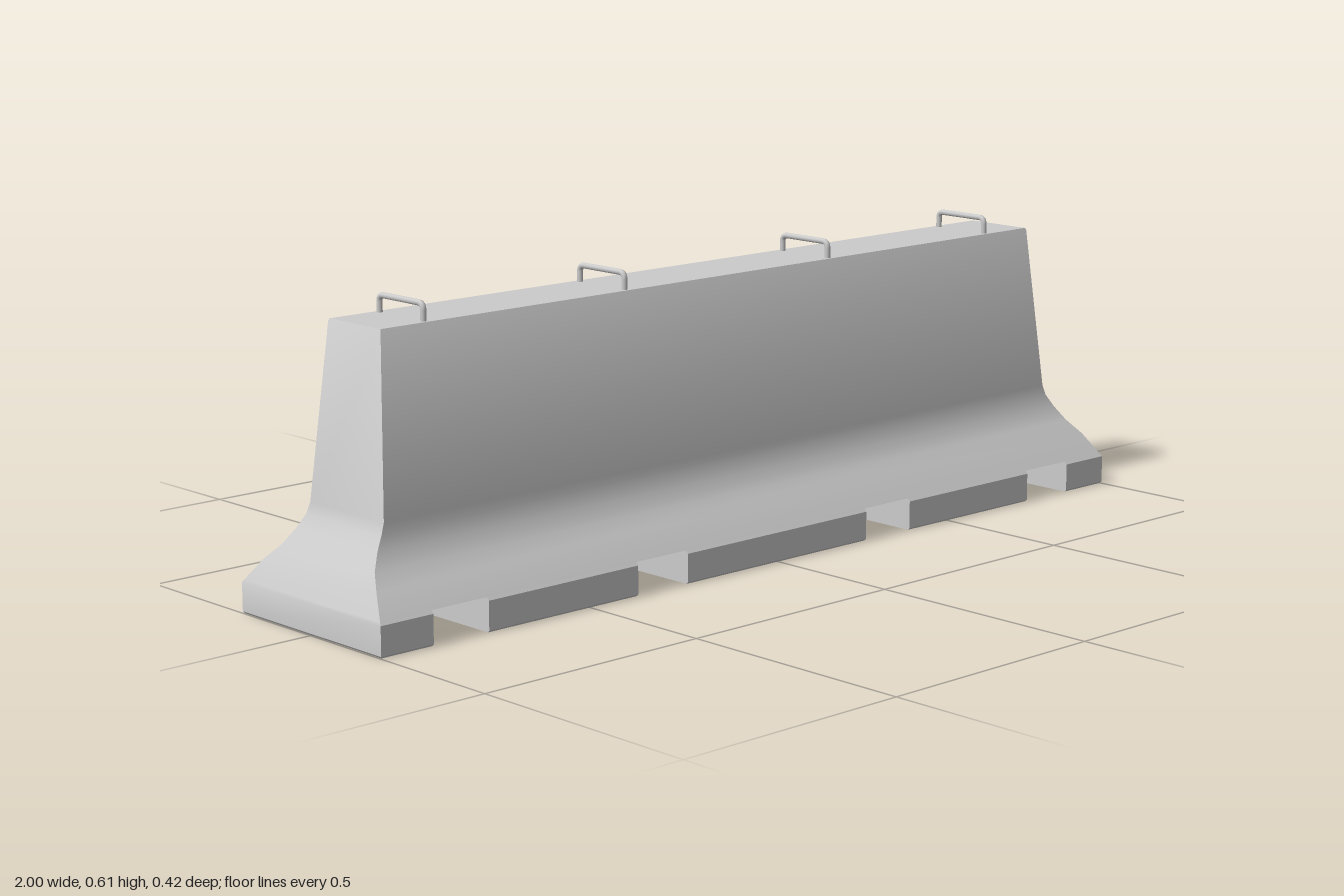
import * as THREE from 'three';
import { mergeGeometries, toCreasedNormals } from 'three/addons/utils/BufferGeometryUtils.js';

// Outline: [height, half length, half depth]
const FOOT = [[0, 0.997, 0.207], [0.004, 1, 0.211], [0.061, 1, 0.211], [0.067, 0.997, 0.206]];
const BODY = [
  [0.067, 0.997, 0.206], [0.11, 0.977, 0.171], [0.139, 0.957, 0.141], [0.17, 0.936, 0.123],
  [0.196, 0.919, 0.114], [0.218, 0.911, 0.111], [0.563, 0.884, 0.078], [0.566, 0.882, 0.076],
];
const NOTCHES = [[-0.88, -0.75], [-0.38, -0.25], [0.25, 0.38], [0.75, 0.88]];
const LOOPS = [-0.775, -0.28, 0.28, 0.76];

// Joins rectangular sections [y, x0, x1, halfDepth] from the bottom up
function loft(sections, capBottom, capTop) {
  const pos = [], index = [];
  for (const [y, x0, x1, z] of sections) pos.push(x1, y, z, x1, y, -z, x0, y, -z, x0, y, z);
  const quad = (a, b, c, d) => index.push(a, b, c, a, c, d);
  for (let s = 0; s < sections.length - 1; s++) {
    for (let i = 0; i < 4; i++) {
      const a = s * 4 + i, b = s * 4 + (i + 1) % 4;
      quad(a, b, b + 4, a + 4);
    }
  }
  const t = (sections.length - 1) * 4;
  if (capBottom) quad(3, 2, 1, 0);
  if (capTop) quad(t, t + 1, t + 2, t + 3);
  const g = new THREE.BufferGeometry();
  g.setAttribute('position', new THREE.Float32BufferAttribute(pos, 3));
  g.setIndex(index);
  return g.toNonIndexed();
}

function barrierGeometry() {
  const parts = [loft(BODY.map(([y, x, z]) => [y, -x, x, z]), false, true)];
  // Feet between the notches; the outer ends follow the outline
  for (let i = 0; i <= NOTCHES.length; i++) {
    parts.push(loft(FOOT.map(([y, x, z]) => [
      y,
      i === 0 ? -x : NOTCHES[i - 1][1],
      i === NOTCHES.length ? x : NOTCHES[i][0],
      z,
    ]), true, false));
  }
  // Notch ceilings
  const [y, , z] = BODY[0];
  for (const [x0, x1] of NOTCHES) {
    const g = new THREE.PlaneGeometry(x1 - x0, 2 * z).rotateX(Math.PI / 2).toNonIndexed();
    g.translate((x0 + x1) / 2, y, 0);
    g.deleteAttribute('uv');
    g.deleteAttribute('normal');
    parts.push(g);
  }
  return toCreasedNormals(mergeGeometries(parts), 0.55);
}

// Bent bar with rounded corners, spanning the depth
function loopGeometry() {
  const w = 0.065, top = 0.599, low = 0.555, r = 0.013;
  const p = (y, z) => new THREE.Vector3(0, y, z);
  const path = new THREE.CurvePath();
  path.add(new THREE.LineCurve3(p(low, w), p(top - r, w)));
  path.add(new THREE.QuadraticBezierCurve3(p(top - r, w), p(top, w), p(top, w - r)));
  path.add(new THREE.LineCurve3(p(top, w - r), p(top, r - w)));
  path.add(new THREE.QuadraticBezierCurve3(p(top, r - w), p(top, -w), p(top - r, -w)));
  path.add(new THREE.LineCurve3(p(top - r, -w), p(low, -w)));
  return new THREE.TubeGeometry(path, 60, 0.006, 10, false);
}

export function createModel() {
  const group = new THREE.Group();
  group.name = 'concreteBarrier';
  const material = new THREE.MeshStandardMaterial({ color: 0xcccccc });

  const body = new THREE.Mesh(barrierGeometry(), material);
  body.name = 'barrierBody';
  group.add(body);

  // Lifting loops along the top
  const loop = loopGeometry();
  LOOPS.forEach((x, i) => {
    const mesh = new THREE.Mesh(loop, material);
    mesh.name = `liftingLoop${i + 1}`;
    mesh.position.x = x;
    group.add(mesh);
  });
  return group;
}
